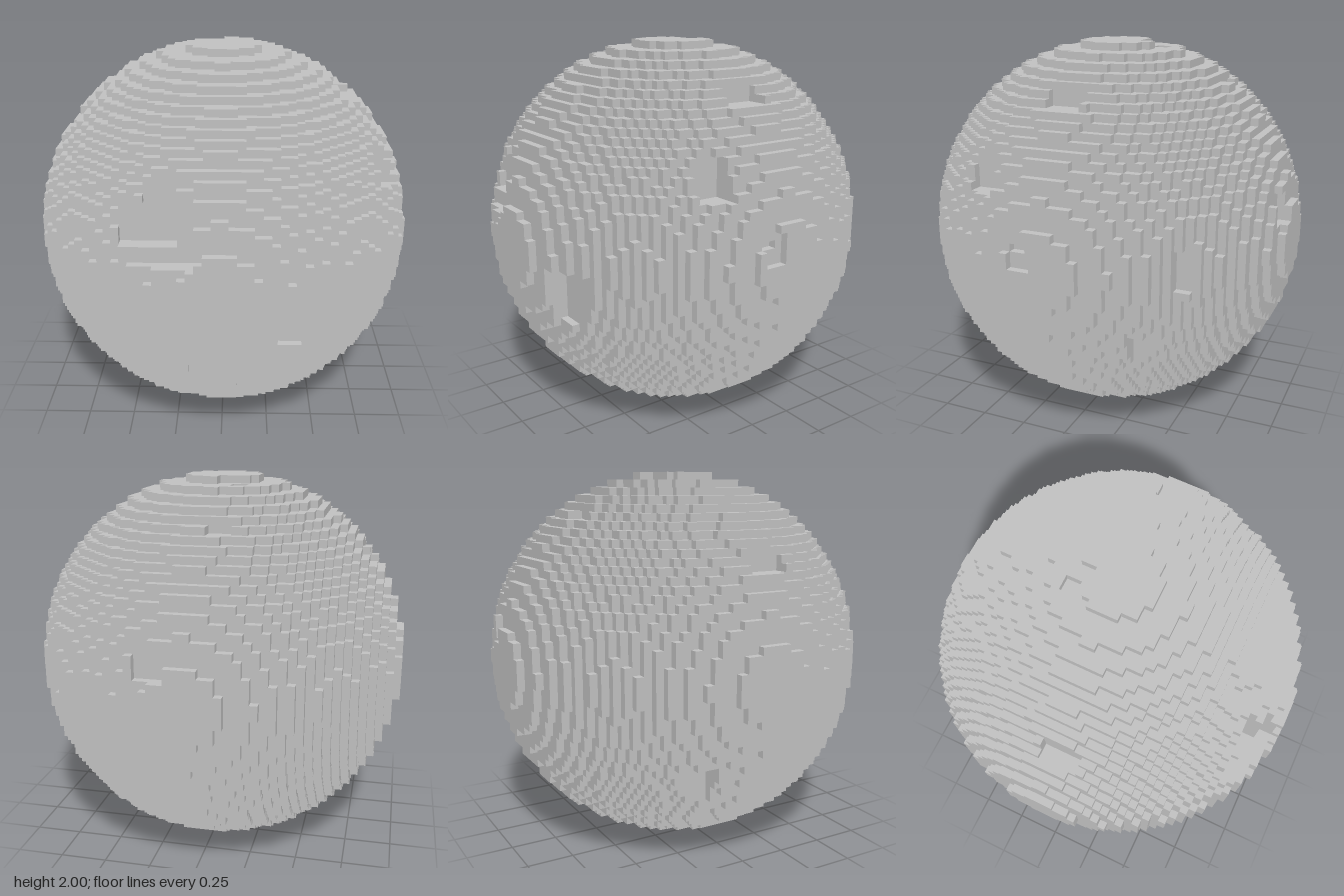
import * as THREE from 'three';

const N = 50;          // blocks along the diameter
const S = 2 / N;       // block size
const FAR = 2;

// Carved pits as boxes [x0, x1, y0, y1, z0, z1], measured from the ball's centre
const PITS = [
  // front
  [-0.48, -0.20, 0.20, 0.40, 0.80, FAR],
  [-0.36, -0.20, 0.40, 0.52, 0.80, FAR],
  [-0.20, -0.12, 0.12, 0.48, 0.88, FAR],
  [-0.40, -0.20, 0.12, 0.20, 0.88, FAR],
  [0.28, 0.56, -0.32, -0.04, 0.84, FAR],
  [-0.16, -0.04, -0.52, -0.44, 0.84, FAR],
  [-0.20, -0.04, -0.88, -0.80, 0.48, FAR],
  // +x side
  [0.76, FAR, 0.32, 0.52, 0.28, 0.44],
  [0.72, FAR, -0.08, 0.12, -0.72, -0.60],
  [0.76, FAR, -0.48, -0.32, -0.56, -0.40],
  [0.96, FAR, 0.00, 0.16, 0.04, 0.16],
  [0.92, FAR, 0.08, 0.12, 0.08, 0.16],
  // top
  [0.56, FAR, 0.72, FAR, -0.08, 0.12],
  [-0.16, -0.04, 0.76, FAR, -0.68, -0.56],
  [-0.24, 0.00, 0.96, FAR, -0.24, -0.12],
  [-0.16, -0.08, 0.92, FAR, -0.24, -0.16],
  // back
  [0.08, 0.24, 0.12, 0.28, -FAR, -0.92],
  [0.00, 0.12, -FAR, -0.76, -FAR, -0.56],
  // -x side
  [-FAR, -0.76, 0.52, 0.64, -0.04, 0.16],
  [-FAR, -0.76, -0.56, -0.40, -0.40, -0.24],
  // underside
  [0.08, 0.20, -FAR, -0.92, 0.12, 0.24],
  [0.52, 0.64, -FAR, -0.76, -0.20, -0.08],
];

const centre = (i) => (i + 0.5) * S - 1;

function isSolid(i, j, k) {
  const x = centre(i), y = centre(j), z = centre(k);
  if (x * x + y * y + z * z > 1.00001) return false;
  return !PITS.some(([x0, x1, y0, y1, z0, z1]) =>
    x > x0 && x < x1 && y > y0 && y < y1 && z > z0 && z < z1);
}

// One square for every block side that meets open air
function blockBallGeometry() {
  const grid = new Uint8Array(N ** 3);
  const at = (i, j, k) => (i * N + j) * N + k;
  for (let i = 0; i < N; i++)
    for (let j = 0; j < N; j++)
      for (let k = 0; k < N; k++) grid[at(i, j, k)] = isSolid(i, j, k) ? 1 : 0;
  const filled = (c) => c.every((v) => v >= 0 && v < N) && grid[at(...c)] === 1;

  const positions = [], normals = [], indices = [];
  const addSide = (cell, axis, sign) => {
    const u = (axis + 1) % 3, v = (axis + 2) % 3;
    const base = positions.length / 3;
    for (const [a, b] of [[0, 0], [1, 0], [1, 1], [0, 1]]) {
      const p = [...cell], n = [0, 0, 0];
      p[axis] += sign > 0 ? 1 : 0;
      p[u] += a;
      p[v] += b;
      n[axis] = sign;
      positions.push(p[0] * S - 1, p[1] * S, p[2] * S - 1);
      normals.push(...n);
    }
    const order = sign > 0 ? [0, 1, 2, 0, 2, 3] : [0, 2, 1, 0, 3, 2];
    indices.push(...order.map((o) => base + o));
  };

  for (let i = 0; i < N; i++)
    for (let j = 0; j < N; j++)
      for (let k = 0; k < N; k++) {
        const cell = [i, j, k];
        if (!filled(cell)) continue;
        for (let axis = 0; axis < 3; axis++)
          for (const sign of [-1, 1]) {
            const next = [...cell];
            next[axis] += sign;
            if (!filled(next)) addSide(cell, axis, sign);
          }
      }

  const geometry = new THREE.BufferGeometry();
  geometry.setAttribute('position', new THREE.Float32BufferAttribute(positions, 3));
  geometry.setAttribute('normal', new THREE.Float32BufferAttribute(normals, 3));
  geometry.setIndex(indices);
  return geometry;
}

export function createModel() {
  const stone = new THREE.MeshStandardMaterial({ color: 0xc0c0c0 });
  stone.name = 'light grey stone';

  const group = new THREE.Group();
  group.name = 'blockBall';
  const ball = new THREE.Mesh(blockBallGeometry(), stone);
  ball.name = 'pittedBall';
  group.add(ball);
  return group;
}
